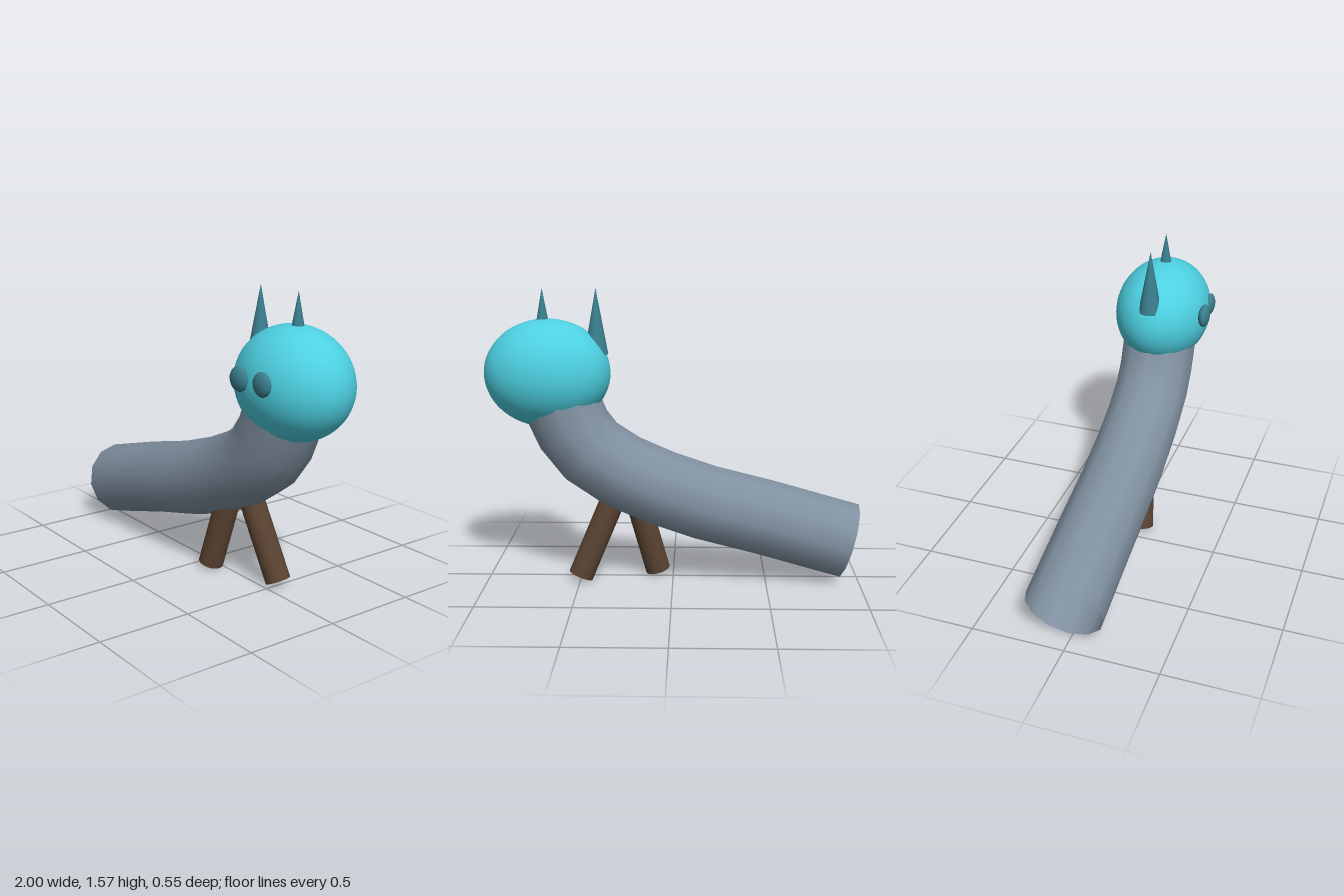
import * as THREE from 'three';

const Z = -0.015; // mid-plane of body and head

export function createModel() {
  const group = new THREE.Group();
  const paint = (color, side = THREE.FrontSide) => {
    const m = new THREE.MeshStandardMaterial({ side });
    m.color.set(color);
    return m;
  };
  const teal = paint(0x3a7f8e);
  const cyan = paint(0x4dd0e1);
  const brown = paint(0x5a4332);
  const slate = paint(0x8090a0, THREE.DoubleSide);

  const add = (name, geometry, material, x, y, z) => {
    const mesh = new THREE.Mesh(geometry, material);
    mesh.name = name;
    mesh.position.set(x, y, z);
    group.add(mesh);
    return mesh;
  };

  // Body: an open twelve-sided tube rising into the neck, one ring per point
  const spine = [
    [-0.943, 0.22], [-0.5, 0.345], [-0.165, 0.43], [0.07, 0.51], [0.278, 0.602],
    [0.44, 0.71], [0.53, 0.825], [0.585, 0.95], [0.62, 1.03],
  ].map(([x, y]) => new THREE.Vector3(x, y, 0));
  const path = new THREE.CatmullRomCurve3(spine);
  path.getPointAt = (t, target) => path.getPoint(t, target);
  path.getTangentAt = (t, target) => path.getTangent(t, target);
  add('body', new THREE.TubeGeometry(path, spine.length - 1, 0.208, 12), slate, 0, 0, Z);

  // Head
  add('head', new THREE.SphereGeometry(1, 48, 32), cyan, 0.663, 1.13, Z)
    .scale.set(0.333, 0.285, 0.262);

  // Eyes: flattened discs on the front of the head
  const eye = new THREE.SphereGeometry(1, 24, 16);
  add('rightEye', eye, teal, 0.57, 1.168, 0.246).scale.set(0.062, 0.062, 0.03);
  add('leftEye', eye, teal, 0.728, 1.168, 0.236).scale.set(0.06, 0.06, 0.028);

  // Ears: matching cones, one sunk deeper into the head
  const ear = new THREE.ConeGeometry(0.063, 0.345, 24);
  add('rightEar', ear, teal, 0.403, 1.403, Z);
  add('leftEar', ear, teal, 0.683, 1.403, Z);

  // Legs: splayed cylinders running from the ground up into the body
  const addLeg = (name, foot, hip) => {
    const a = new THREE.Vector3(...foot);
    const axis = new THREE.Vector3(...hip).sub(a);
    const centre = a.clone().addScaledVector(axis, 0.5);
    const leg = add(name, new THREE.CylinderGeometry(0.067, 0.067, axis.length(), 24),
      brown, centre.x, centre.y, centre.z);
    leg.quaternion.setFromUnitVectors(new THREE.Vector3(0, 1, 0), axis.normalize());
  };
  addLeg('rightLeg', [0.085, 0.028, 0.05], [0.19, 0.42, 0.012]);
  addLeg('leftLeg', [0.497, 0.033, -0.078], [0.315, 0.465, -0.032]);

  return group;
}
